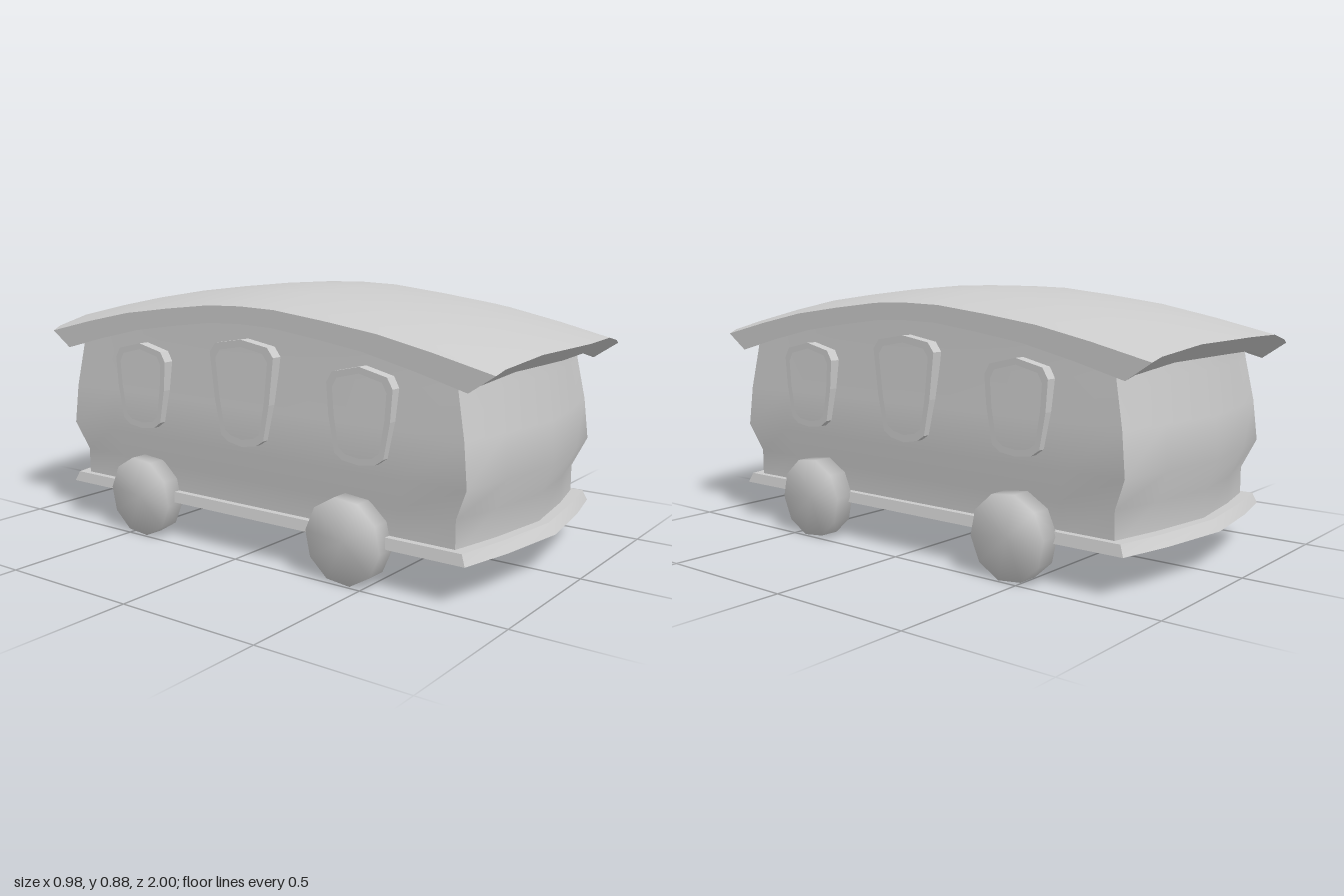
import * as THREE from 'three';
import { toCreasedNormals, mergeVertices } from 'three/addons/utils/BufferGeometryUtils.js';

const material = new THREE.MeshStandardMaterial({ color: 0xcccccc });
const CX = -0.011; // the body sits slightly off the wheel centre line

// piecewise linear lookup in a list of [input, output] pairs
function lerpTable(table, v) {
  let i = 1;
  while (i < table.length - 1 && v > table[i][0]) i++;
  const [a, ya] = table[i - 1], [b, yb] = table[i];
  return ya + (yb - ya) * (v - a) / (b - a);
}

// skin through closed rings of [x, y, z], optionally capped by strips
function loft(rings, capped) {
  const n = rings[0].length, pos = [];
  const quad = (a, b, c, d) => pos.push(...a, ...b, ...c, ...a, ...c, ...d);
  for (let j = 0; j < rings.length - 1; j++)
    for (let i = 0; i < n; i++) {
      const k = (i + 1) % n;
      quad(rings[j][i], rings[j][k], rings[j + 1][k], rings[j + 1][i]);
    }
  if (capped) {
    const lo = rings[0], hi = rings[rings.length - 1];
    for (let i = 0; i < n / 2 - 1; i++) {
      quad(hi[i], hi[i + 1], hi[n - 2 - i], hi[n - 1 - i]);
      quad(lo[n - 1 - i], lo[n - 2 - i], lo[i + 1], lo[i]);
    }
  }
  const g = new THREE.BufferGeometry();
  g.setAttribute('position', new THREE.Float32BufferAttribute(pos, 3));
  return toCreasedNormals(g, 0.7);
}

// roof curves: lengthwise crown, crosswise drop, bowed end position
const CROWN = [[0, 0.888], [0.15, 0.884], [0.36, 0.862], [0.57, 0.836], [0.78, 0.796], [1, 0.748]];
const DROP = [[0, 0], [0.25, 0.008], [0.41, 0.034], [0.448, 0.048]];
const END = [[0, 1], [0.25, 0.963], [0.448, 0.918]];
const THICK = 0.057, INSET = 0.085;
const roofY = (x, t) => lerpTable(CROWN, Math.abs(t)) - lerpTable(DROP, Math.abs(x));

function roofGeometry() {
  const half = CROWN.map(c => c[0]);
  const ts = [...half.slice(1).reverse().map(t => -t), ...half];
  const xs = [-0.448, -0.41, -0.25, 0, 0.25, 0.41, 0.448];
  return loft(xs.map(x => {
    const end = lerpTable(END, Math.abs(x));
    const top = ts.map(t => [x, roofY(x, t), t * end]);
    const bottom = ts.map(t => [x, roofY(x, t) - THICK, t * (end - INSET)]).reverse();
    return [...top, ...bottom];
  }), true);
}

// plan outline with straight sides and bowed ends
function outline(y, w, zCorner, zMid) {
  const half = [];
  for (const u of [-1, -0.58, 0, 0.58, 1])
    half.push([u * w, y, zCorner + (zMid - zCorner) * (1 - Math.abs(u) ** 1.4)]);
  for (const v of [0.75, 0.5, 0.2, -0.2, -0.5, -0.75]) half.push([w, y, v * zCorner]);
  return [...half, ...half.map(([x, py, z]) => [-x, py, -z])];
}

function bodyGeometry() {
  const rings = [
    [0.15, 0.413, 0.785, 0.857], [0.26, 0.413, 0.785, 0.86], [0.36, 0.435, 0.83, 0.9],
    [0.5, 0.429, 0.815, 0.89], [0.64, 0.419, 0.787, 0.866]
  ].map(r => outline(...r));
  // the top edge follows the underside of the roof
  rings.push(outline(0, 0.415, 0.78, 0.86).map(([x, , z]) => {
    const t = z / (lerpTable(END, Math.abs(x)) - INSET);
    return [x, roofY(x, t) - THICK + 0.015, z];
  }));
  return loft(rings, false);
}

// right half of a window outline, mirrored into a closed loop
function windowLoop(half, k) {
  const top = half[0][1], bottom = half[half.length - 1][1], mid = (top + bottom) / 2;
  const ky = 1 - (1 - k) * 0.75;
  const mirrored = half.slice(1, -1).reverse().map(([x, y]) => [-x, y]);
  return [...half, ...mirrored].map(([x, y]) => new THREE.Vector2(x * k, mid + (y - mid) * ky));
}

function windowGeometry(half) {
  const shape = new THREE.Shape(windowLoop(half, 1));
  shape.holes.push(new THREE.Path(windowLoop(half, 0.82)));
  return new THREE.ExtrudeGeometry(shape, { depth: 0.056, bevelEnabled: false });
}

const TALL = [[0, 0.734], [0.11, 0.716], [0.134, 0.685], [0.115, 0.53], [0.09, 0.41], [0.06, 0.391], [0, 0.38]];
const SHORT = [[0, 0.687], [0.1, 0.664], [0.12, 0.63], [0.112, 0.53], [0.09, 0.415], [0.06, 0.394], [0, 0.386]];

// ten-sided wheel with normals shared across its rim for a soft, rounded look
function wheelGeometry() {
  const g = new THREE.CylinderGeometry(0.141, 0.141, 0.07, 10).rotateZ(Math.PI / 2).rotateX(0.1);
  g.deleteAttribute('normal');
  g.deleteAttribute('uv');
  const smooth = mergeVertices(g, 1e-4);
  smooth.computeVertexNormals();
  return smooth;
}

export function createModel() {
  const model = new THREE.Group();
  model.name = 'trolleyCar';
  const add = (name, geometry, x, y, z) => {
    const mesh = new THREE.Mesh(geometry, material);
    mesh.name = name;
    mesh.position.set(x, y, z);
    model.add(mesh);
    return mesh;
  };

  add('roof', roofGeometry(), CX, 0, 0);
  add('body', bodyGeometry(), CX, 0, 0);
  add('platform', loft([outline(0.135, 0.445, 0.835, 0.915), outline(0.17, 0.436, 0.82, 0.89)], true), CX, 0, 0);

  const tall = windowGeometry(TALL), short = windowGeometry(SHORT), wheel = wheelGeometry();
  for (const side of [1, -1]) {
    const label = side > 0 ? 'left' : 'right';
    // window frames along the side
    for (const [name, geometry, z] of [['Front', short, 0.47], ['Middle', tall, 0.008], ['Rear', short, -0.455]])
      add(label + name + 'WindowFrame', geometry, CX + side * 0.4, 0, z).rotation.y = side * Math.PI / 2;
    // wheels
    for (const [name, z] of [['Front', 0.425], ['Rear', -0.455]])
      add(label + name + 'Wheel', wheel, side * 0.454, 0.141, z);
  }
  return model;
}
